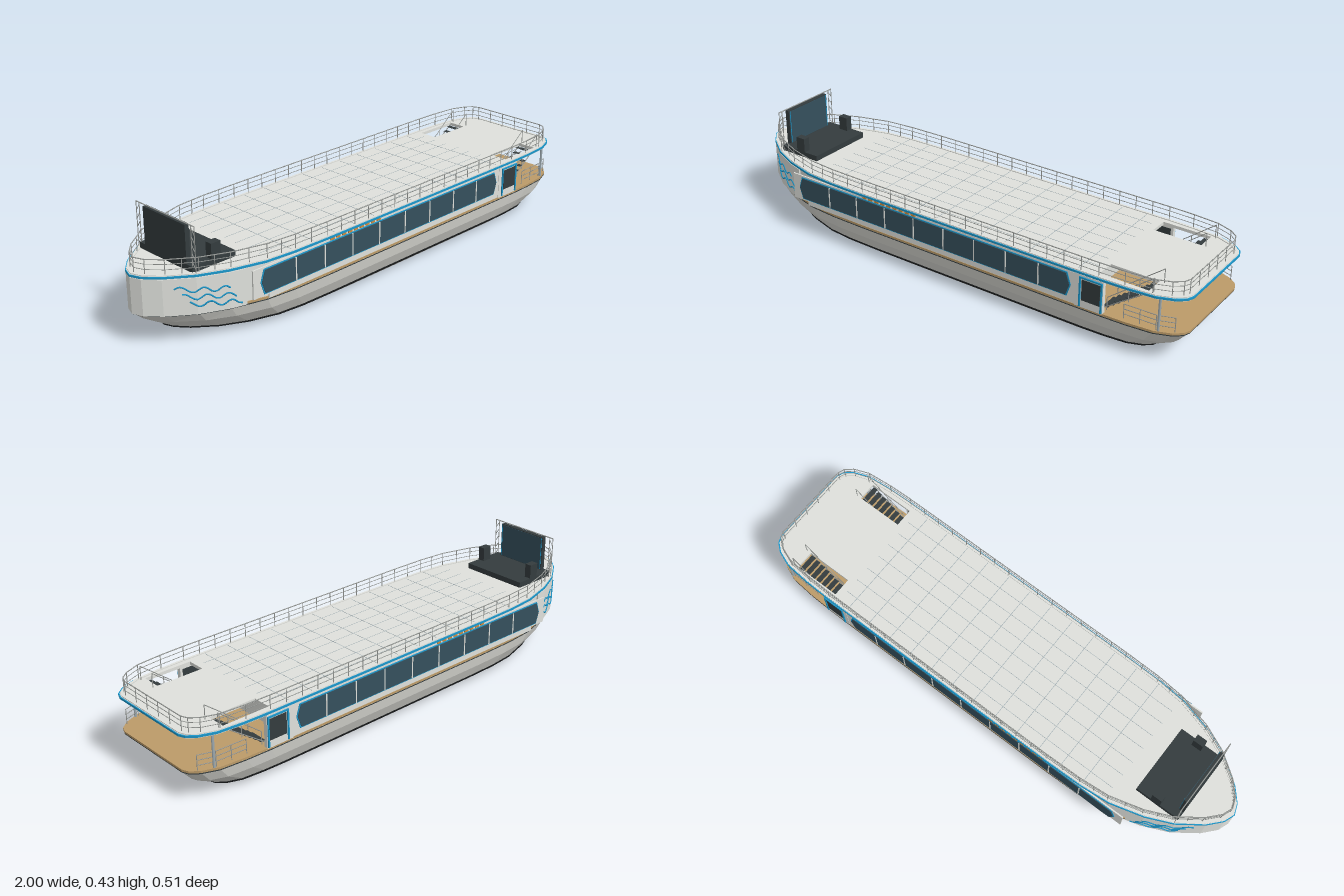
import * as THREE from 'three';
import { mergeGeometries } from 'three/addons/utils/BufferGeometryUtils.js';

const mat = (name, color) => {
  const m = new THREE.MeshStandardMaterial({ color });
  m.name = name;
  return m;
};

// Half plan of the vessel, bow to stern
const HALF = [[-1, 0], [-0.985, 0.04], [-0.94, 0.09], [-0.85, 0.155], [-0.75, 0.2], [-0.62, 0.236],
  [-0.5, 0.247], [-0.35, 0.25], [0.7, 0.25], [0.8, 0.247], [0.9, 0.238], [0.96, 0.215], [0.99, 0.19], [1, 0.165]];

// Full loop of plan points fitted to a bow x, stern x and half width
function outline(bow, stern, hw) {
  const fit = ([x, z]) => [bow + (x + 1) / 2 * (stern - bow), z * hw / 0.25];
  const near = HALF.map(fit);
  return [...near, ...near.slice(1).reverse().map(([x, z]) => [x, -z])];
}

// Half width of the wall at x
function sideZ(x) {
  const i = Math.max(1, HALF.findIndex(p => p[0] >= x));
  const [a, b] = [HALF[i - 1], HALF[i]];
  return a[1] + (b[1] - a[1]) * (x - a[0]) / (b[0] - a[0]);
}

// Part of a loop ahead of x, closed by a straight edge of half width z
function foreLoop(loop, x, z) {
  const fore = loop.filter(p => p[0] < x);
  const k = fore.findIndex(p => p[1] < 0);
  return [...fore.slice(0, k), [x, z], [x, -z], ...fore.slice(k)];
}

const toShape = pts => new THREE.Shape(pts.map(([x, z]) => new THREE.Vector2(x, -z)));
const rect = (x0, x1, z0, z1) => [[x0, z0], [x1, z0], [x1, z1], [x0, z1]];

// Horizontal slab from a plan, with optional holes
function slab(pts, y0, y1, holes = []) {
  const s = toShape(pts);
  s.holes = holes.map(toShape);
  return new THREE.ExtrudeGeometry(s, { depth: y1 - y0, bevelEnabled: false }).rotateX(-Math.PI / 2).translate(0, y0, 0);
}

const box = (x0, x1, y0, y1, z0, z1) => new THREE.BoxGeometry(x1 - x0, y1 - y0, Math.abs(z1 - z0))
  .translate((x0 + x1) / 2, (y0 + y1) / 2, (z0 + z1) / 2);

// Thin round bar between two points
function bar(a, b, r = 0.0016) {
  const p = new THREE.Vector3(...a), d = new THREE.Vector3(...b).sub(p);
  const q = new THREE.Quaternion().setFromUnitVectors(new THREE.Vector3(0, 1, 0), d.clone().normalize());
  return new THREE.CylinderGeometry(r, r, d.length(), 5).applyQuaternion(q).translate(...p.addScaledVector(d, 0.5).toArray());
}

// Faceted shell through a stack of loops, closed at the bottom
function loft(loops) {
  const v = [], n = loops[0].length;
  const cx = loops[0].reduce((s, p) => s + p[0], 0) / n;
  for (let i = 0; i < n; i++) {
    const j = (i + 1) % n;
    v.push(cx, loops[0][0][1], 0, ...loops[0][j], ...loops[0][i]);
    for (let k = 0; k + 1 < loops.length; k++) {
      const [a, b, c, d] = [loops[k][i], loops[k][j], loops[k + 1][j], loops[k + 1][i]];
      v.push(...a, ...b, ...c, ...a, ...c, ...d);
    }
  }
  const g = new THREE.BufferGeometry();
  g.setAttribute('position', new THREE.Float32BufferAttribute(v, 3));
  g.computeVertexNormals();
  return g;
}

export function createModel() {
  const root = new THREE.Group();
  root.name = 'riverBoat';
  const white = mat('wall white', 0xdfe1dc), hullGrey = mat('hull grey', 0xd8d8d2), glass = mat('dark glass', 0x35505d);
  const blue = mat('trim blue', 0x1c98cc), tan = mat('deck tan', 0xbc9b69), dark = mat('charcoal', 0x343c3e);
  const steel = mat('rail grey', 0x9b9e9b), black = mat('black rubber', 0x17191a), seam = mat('seam grey', 0xa3b0b6);
  const orange = mat('accent orange', 0xd08a3c);
  const add = (name, material, ...geos) => {
    const mesh = new THREE.Mesh(geos.length > 1 ? mergeGeometries(geos) : geos[0], material);
    mesh.name = name;
    root.add(mesh);
  };
  const SIDES = [1, -1];

  // Hull, with the bow chine lifting slightly
  const level = (y, bow, stern, hw, lift = 0) => outline(bow, stern, hw)
    .map(([x, z]) => [x, y + lift * Math.max(0, (-0.4 - x) / 0.5) ** 2, z]);
  add('hull', hullGrey, loft([level(0, -0.62, 0.8, 0.195), level(0.023, -0.87, 0.87, 0.218, 0.012),
    level(0.073, -0.955, 0.955, 0.242, 0.01), level(0.115, -0.99, 0.99, 0.25), level(0.121, -0.992, 0.992, 0.25)]));
  const chine = level(0.024, -0.872, 0.872, 0.219, 0.012);
  add('rubbingStrip', black, ...chine.map((p, i) => bar(p, chine[(i + 1) % chine.length], 0.0042)));
  add('gunwale', dark, slab(outline(-0.994, 0.994, 0.2515), 0.116, 0.119));
  add('mainDeck', tan, slab(outline(-0.995, 0.995, 0.251), 0.12, 0.128));

  // Cabin body with a flat aft wall, and the deeper wall around the bow
  add('cabin', white, slab(foreLoop(outline(-0.998, 0.998, 0.246), 0.61, 0.246), 0.126, 0.252));
  add('bowWall', white, slab(foreLoop(outline(-0.9985, 0.9985, 0.253), -0.69, sideZ(-0.69) * 1.012), 0.119, 0.251));
  for (const s of SIDES) {
    add('sidePanel', white, box(-0.69, 0.6, 0.145, 0.25, s * 0.245, s * 0.2505), box(-0.62, 0.6, 0.129, 0.146, s * 0.245, s * 0.2505));
    add('doorWall', white, box(0.6, 0.71, 0.126, 0.252, s * 0.236, s * 0.252));

    // Window band with pointed ends, blue frame and mullions
    const band = g => {
      const sh = new THREE.Shape([[-0.655 - g, 0.198], [-0.64 - g, 0.155 - g], [0.565 + g, 0.155 - g], [0.58 + g, 0.198],
        [0.565 + g, 0.24 + g], [-0.64 - g, 0.24 + g]].map(p => new THREE.Vector2(...p)));
      return new THREE.ExtrudeGeometry(sh, { depth: 0.004, bevelEnabled: false });
    };
    add('windowFrame', blue, band(0.004).translate(0, 0, s > 0 ? 0.249 : -0.253));
    add('windowGlass', glass, band(0).translate(0, 0, s > 0 ? 0.2515 : -0.2555));
    const mullions = [];
    for (let i = 0; i < 8; i++) mullions.push(box(-0.504 + i * 0.1365, -0.499 + i * 0.1365, 0.155, 0.24, s * 0.252, s * 0.257));
    add('mullions', white, ...mullions);

    // Row of small orange accents above the windows
    const accents = [];
    for (let i = 0; i < 9; i++) accents.push(box(-0.335 + i * 0.029, -0.317 + i * 0.029, 0.247, 0.254, s * 0.25, s * 0.2545));
    add('accentRow', orange, ...accents);

    // Side door
    add('doorFrame', blue, box(0.618, 0.624, 0.13, 0.245, s * 0.251, s * 0.2565), box(0.702, 0.708, 0.13, 0.245, s * 0.251, s * 0.2565),
      box(0.618, 0.708, 0.24, 0.246, s * 0.251, s * 0.2565));
    add('doorGlass', dark, box(0.628, 0.7, 0.155, 0.235, s * 0.235, s * 0.2545));

    // Painted waves at the bow
    for (let w = 0; w < 3; w++) {
      const pts = [];
      for (let i = 0; i <= 12; i++) {
        const x = -0.91 + w * 0.02 + i * 0.0135;
        pts.push(new THREE.Vector3(x, 0.215 - w * 0.028 - i * 0.0016 + 0.009 * Math.sin(i * 1.3 + w), s * (sideZ(x) * 1.012 + 0.001)));
      }
      add('bowWave', blue, new THREE.TubeGeometry(new THREE.CatmullRomCurve3(pts), 30, 0.0028, 4));
    }
  }

  // Upper deck with stair openings and blue edge trim
  const hatches = SIDES.map(s => rect(0.676, 0.863, s * 0.148, s * 0.222));
  add('upperDeck', white, slab(outline(-0.997, 0.996, 0.25), 0.25, 0.262, hatches));
  add('edgeTrim', blue, slab(outline(-1, 1, 0.2535), 0.254, 0.2615, [outline(-0.985, 0.985, 0.24)]));
  add('edgeLip', white, slab(outline(-0.994, 0.994, 0.249), 0.262, 0.265, [outline(-0.98, 0.985, 0.24)]));
  const seams = [];
  for (const z of [-0.185, -0.125, -0.065, 0, 0.06, 0.12, 0.18]) seams.push(box(-0.6, 0.65, 0.261, 0.2626, z - 0.0008, z + 0.0008));
  for (let i = 0; i < 12; i++) seams.push(box(-0.501 + i * 0.1, -0.499 + i * 0.1, 0.261, 0.2626, -0.235, 0.235));
  add('deckSeams', seam, ...seams);

  // Upper railing: posts spaced along the loop and three rails
  const path = outline(-0.98, 0.98, 0.244), rails = [];
  path.forEach(([x, z], i) => {
    const [x2, z2] = path[(i + 1) % path.length];
    const count = Math.max(1, Math.round(Math.hypot(x2 - x, z2 - z) / 0.07));
    for (const y of [0.281, 0.3, 0.317]) rails.push(bar([x, y, z], [x2, y, z2], y > 0.31 ? 0.002 : 0.0013));
    for (let j = 0; j < count; j++) {
      const px = x + (x2 - x) * j / count, pz = z + (z2 - z) * j / count;
      rails.push(bar([px, 0.26, pz], [px, 0.317, pz]));
    }
  });
  add('upperRailing', steel, ...rails);

  for (const s of SIDES) {
    // Stairs rising aft through the opening
    const treads = [], frame = [];
    for (let i = 0; i < 8; i++) {
      const x = 0.695 + i * 0.0205, y = 0.14 + i * 0.0155;
      treads.push(box(x, x + 0.019, y, y + 0.0016, s * 0.15, s * 0.22));
    }
    add('stairTreads', dark, ...treads);
    for (const z of [0.149, 0.221]) {
      frame.push(bar([0.69, 0.13, s * z], [0.865, 0.255, s * z], 0.002));
      frame.push(bar([0.71, 0.18, s * z], [0.88, 0.315, s * z]), bar([0.71, 0.13, s * z], [0.71, 0.18, s * z]));
      frame.push(bar([0.79, 0.19, s * z], [0.79, 0.245, s * z]), bar([0.88, 0.26, s * z], [0.88, 0.315, s * z]));
    }
    add('stairFrame', steel, ...frame);

    // Aft deck railing and roof post
    const lower = [];
    for (const y of [0.146, 0.165, 0.184]) {
      lower.push(bar([0.78, y, s * 0.23], [0.9, y, s * 0.226]), bar([0.9, y, s * 0.226], [0.96, y, s * 0.205]));
    }
    for (const [x, z] of [[0.78, 0.23], [0.84, 0.228], [0.9, 0.226], [0.96, 0.205]]) lower.push(bar([x, 0.126, s * z], [x, 0.184, s * z]));
    add('aftRailing', steel, ...lower);
    add('roofPost', seam, bar([0.91, 0.126, s * 0.228], [0.91, 0.252, s * 0.228], 0.005));

    // Truss tower beside the screen
    const truss = [0.135, 0.152].map(z => bar([-0.845, 0.265, s * z], [-0.845, 0.428, s * z]));
    for (let i = 0; i < 5; i++) truss.push(bar([-0.845, 0.275 + i * 0.03, s * 0.152], [-0.845, 0.3 + i * 0.03, s * 0.135], 0.0014));
    add('screenTruss', steel, ...truss);
    add('speaker', dark, box(-0.77, -0.73, 0.284, 0.34, s * 0.112, s * 0.14));
  }
  add('trussTopBar', steel, bar([-0.845, 0.428, -0.153], [-0.845, 0.428, 0.153], 0.0022));

  // Stage and screen, facing aft
  add('stage', dark, box(-0.85, -0.668, 0.262, 0.284, -0.14, 0.14));
  add('screenBody', dark, box(-0.85, -0.833, 0.28, 0.423, -0.11, 0.11));
  add('screenFace', glass, box(-0.834, -0.831, 0.286, 0.42, -0.107, 0.107));
  add('screenEdges', blue, ...SIDES.map(s => box(-0.834, -0.83, 0.286, 0.42, s * 0.103, s * 0.106)));
  return root;
}
